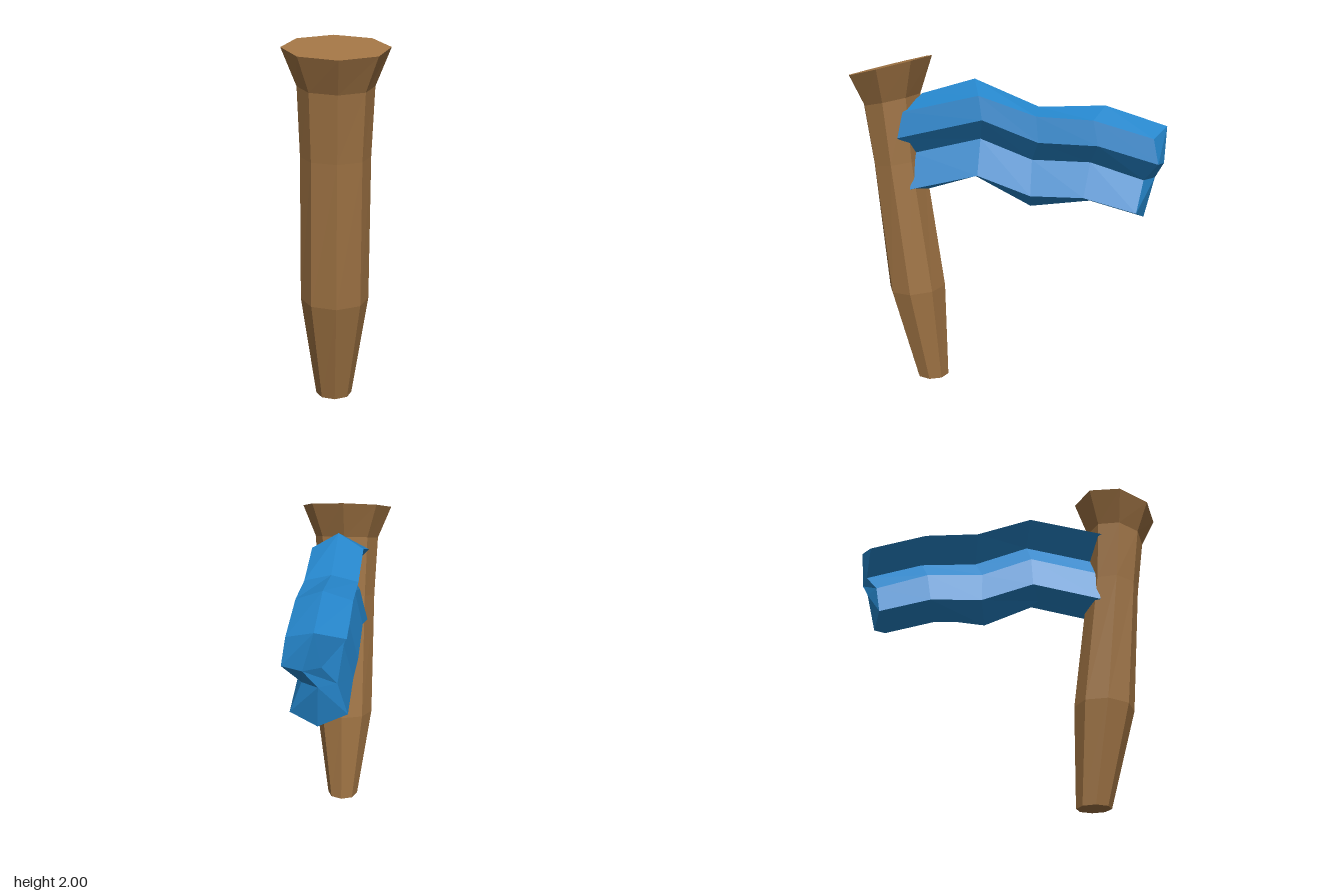
import * as THREE from 'three';

// Flat-shaded mesh from a list of polygons (each a convex corner loop)
function facetMesh(name, polys, material) {
  const pos = [];
  for (const p of polys)
    for (let i = 1; i < p.length - 1; i++) pos.push(...p[0], ...p[i], ...p[i + 1]);
  const geo = new THREE.BufferGeometry();
  geo.setAttribute('position', new THREE.Float32BufferAttribute(pos, 3));
  geo.computeVertexNormals();
  const mesh = new THREE.Mesh(geo, material);
  mesh.name = name;
  return mesh;
}

// Side quads joining successive loops of equal length
function skin(loops) {
  const polys = [];
  for (let i = 0; i < loops.length - 1; i++) {
    const a = loops[i], b = loops[i + 1], n = a.length;
    for (let j = 0; j < n; j++) {
      const k = (j + 1) % n;
      polys.push([a[j], a[k], b[k]], [a[j], b[k], b[j]]);
    }
  }
  return polys;
}

// Leaning eight-sided post with a flared, tilted head
function createPost(material) {
  // half width, front z, front y, back z, back y
  const rings = [
    [0.10, 0.565, 0, 0.365, 0],
    [0.185, 0.725, 0.575, 0.375, 0.6],
    [0.185, 0.795, 1.36, 0.485, 1.4],
    [0.20, 0.845, 1.71, 0.50, 1.78],
    [0.28, 0.93, 1.88, 0.425, 2.0],
  ];
  const loops = rings.map(([r, zf, yf, zb, yb]) =>
    Array.from({ length: 8 }, (_, j) => {
      const a = (j * Math.PI) / 4, t = (1 - Math.cos(a)) / 2;
      return [r * Math.sin(a), yf + (yb - yf) * t, zf + (zb - zf) * t];
    }));
  const caps = [[...loops[0]].reverse(), loops[4]];
  return facetMesh('post', [...skin(loops), ...caps], material);
}

// Thick wavy banner with an S-shaped cross-section
function createBanner(material) {
  const leftX = [0.15, 0.17, 0.08, 0.15];
  const rightX = [-0.15, -0.03, -0.1, -0.15];
  // ridge [z, y], four side rows [z, y], keel [z, y]
  const stations = [
    [[0.49, 1.78], [0.57, 1.69], [0.60, 1.54], [0.53, 1.44], [0.54, 1.235], [0.46, 1.21]],
    [[0.175, 1.87], [0.127, 1.79], [0.105, 1.655], [0.13, 1.535], [0.138, 1.33], [0.175, 1.295]],
    [[-0.2, 1.715], [-0.2, 1.68], [-0.215, 1.535], [-0.17, 1.42], [-0.17, 1.22], [-0.155, 1.125]],
    [[-0.58, 1.73], [-0.52, 1.665], [-0.55, 1.525], [-0.505, 1.415], [-0.475, 1.22], [-0.505, 1.17]],
    [[-0.93, 1.62], [-0.855, 1.57], [-0.885, 1.43], [-0.81, 1.32], [-0.775, 1.14], [-0.82, 1.085]],
  ];
  const loops = stations.map((s) => {
    const rows = s.slice(1, 5);
    const left = rows.map(([z, y], i) => [leftX[i], y, z]);
    const right = rows.map(([z, y], i) => [rightX[i], y, z]).reverse();
    return [[0, s[0][1], s[0][0]], ...left, [0, s[5][1], s[5][0]], ...right];
  });
  // Folded end made of quads on both sides of a centre line
  const end = (p, m1, m2) => {
    const c = [p[0], m1, m2, p[5]], polys = [];
    for (let i = 0; i < 3; i++) {
      const l0 = p[i + 1], l1 = p[i + 2], r0 = p[9 - i], r1 = p[8 - i];
      polys.push([c[i], l0, l1, c[i + 1]], [c[i], c[i + 1], r1, r0]);
    }
    return polys;
  };
  const rear = end(loops[4], [0.06, 1.42, -0.92], [-0.01, 1.32, -0.875]);
  const front = end(loops[0], [0.06, 1.58, 0.51], [-0.01, 1.45, 0.46]).map((q) => q.reverse());
  return facetMesh('banner', [...skin(loops), ...rear, ...front], material);
}

export function createModel() {
  const wood = new THREE.MeshStandardMaterial({ color: 0xa07444 });
  wood.name = 'wood brown';
  const cloth = new THREE.MeshStandardMaterial({ color: 0x2585ca });
  cloth.name = 'cloth blue';
  const model = new THREE.Group();
  model.name = 'flag';
  model.add(createPost(wood), createBanner(cloth));
  return model;
}
